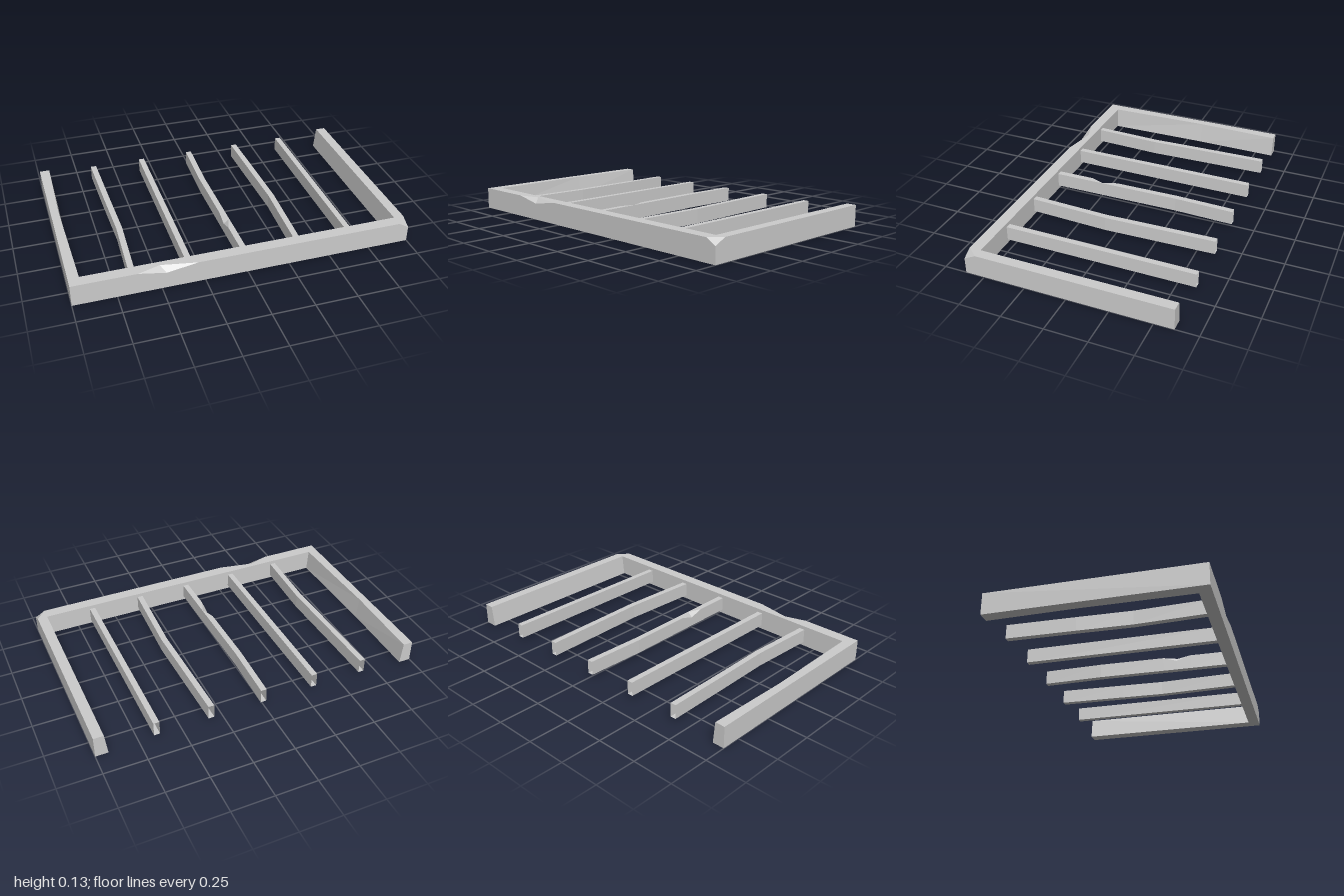
import * as THREE from 'three';

const H = 0.13, BACK = -0.615, FRONT = 0.615, INNER = 0.545;
const material = new THREE.MeshStandardMaterial({ color: 0xcccccc, flatShading: true, side: THREE.DoubleSide });

const P = (x, y, z) => new THREE.Vector3(x, y, z);

// Turns counter-clockwise polygons (concave allowed) into a flat-shaded mesh
function polyMesh(name, faces) {
  const positions = [];
  for (const face of faces) {
    const pts = face.filter((p, i) => p.distanceTo(face[(i + 1) % face.length]) > 1e-6);
    if (pts.length < 3) continue;
    const normal = P(0, 0, 0);
    pts.forEach((p, i) => normal.add(p.clone().cross(pts[(i + 1) % pts.length])));
    const [ax, ay, az] = normal.toArray().map(Math.abs);
    const flat = pts.map((p) =>
      ay >= ax && ay >= az ? new THREE.Vector2(p.x, p.z)
        : ax >= az ? new THREE.Vector2(p.y, p.z) : new THREE.Vector2(p.x, p.y));
    for (const [i, j, k] of THREE.ShapeUtils.triangulateShape(flat, [])) {
      const [a, b, c] = [pts[i], pts[j], pts[k]];
      const n = b.clone().sub(a).cross(c.clone().sub(a));
      const tri = n.dot(normal) < 0 ? [a, c, b] : [a, b, c];
      tri.forEach((p) => positions.push(p.x, p.y, p.z));
    }
  }
  const geometry = new THREE.BufferGeometry();
  geometry.setAttribute('position', new THREE.Float32BufferAttribute(positions, 3));
  geometry.computeVertexNormals();
  const mesh = new THREE.Mesh(geometry, material);
  mesh.name = name;
  return mesh;
}

// U-shaped frame with a chipped front edge and a chipped corner
function createFrame() {
  const top = (x, z) => P(x, H, z), base = (x, z) => P(x, 0, z);
  const chipLeft = top(-0.63, FRONT), chipBack = top(-0.5, 0.575), chipRight = top(-0.29, FRONT);
  const chipLow = P(-0.47, 0.1, FRONT);
  const cornerA = top(0.94, FRONT), cornerB = top(1, INNER), cornerLow = P(1, 0.095, FRONT);

  // Matching top and base outlines around the back and inside of the U
  const upper = [[1, BACK], [0.94, BACK], [0.94, INNER], [-0.938, INNER], [-0.952, -0.1],
    [-0.94, BACK], [-1, BACK], [-1, FRONT]].map(([x, z]) => top(x, z));
  const lower = [[1, BACK], [0.925, BACK], [0.925, INNER], [-0.928, INNER], [-0.935, -0.1],
    [-0.928, BACK], [-1, BACK], [-1, FRONT]].map(([x, z]) => base(x, z));
  const frontRight = base(1, FRONT);

  const faces = [
    [...upper, chipLeft, chipBack, chipRight, cornerA, cornerB],
    [...lower, frontRight].reverse(),
    [lower[7], frontRight, cornerLow, cornerA, chipRight, chipLow, chipLeft, upper[7]],
    [frontRight, lower[0], upper[0], cornerB, cornerLow],
    [chipLeft, chipLow, chipBack],
    [chipLow, chipRight, chipBack],
    [cornerA, cornerLow, cornerB],
  ];
  for (let i = 0; i < 7; i++) faces.push([lower[i], lower[i + 1], upper[i + 1], upper[i]]);
  return polyMesh('frame', faces);
}

// Open-ended slat following [z, x, chipped?] stations from back to front
function createSlat(path) {
  const half = 0.0175, y0 = 0.022, y1 = 0.108;
  const rings = path.map(([z, x, chipped]) => {
    const corner = P(x - half, y1, z);
    return [
      P(x - half, y0, z), P(x + half, y0, z), P(x + half, y1, z),
      chipped ? P(x + 0.014, y1, z) : corner,
      chipped ? P(x - half, 0.08, z) : corner,
    ];
  });
  const faces = [];
  for (let r = 0; r < rings.length - 1; r++) {
    const a = rings[r], b = rings[r + 1];
    for (let i = 0; i < 5; i++) {
      const j = (i + 1) % 5;
      faces.push([b[i], b[j], a[j], a[i]]);
    }
  }
  return polyMesh('slat', faces);
}

export function createModel() {
  const model = new THREE.Group();
  model.name = 'slattedFrame';
  model.add(createFrame());

  // Straight and slightly warped slats
  const slats = [
    [[BACK, -0.652], [-0.2, -0.643], [0.13, -0.634], [INNER, -0.652]],
    [[BACK, -0.328], [INNER, -0.328]],
    [[BACK, -0.001], [-0.25, -0.012], [0.15, -0.006], [0.235, -0.005, true], [0.32, -0.004], [INNER, -0.001]],
    [[BACK, 0.323], [-0.2, 0.335], [0.06, 0.343], [INNER, 0.323]],
    [[BACK, 0.647], [INNER, 0.647]],
  ];
  slats.forEach((path) => model.add(createSlat(path)));
  return model;
}
